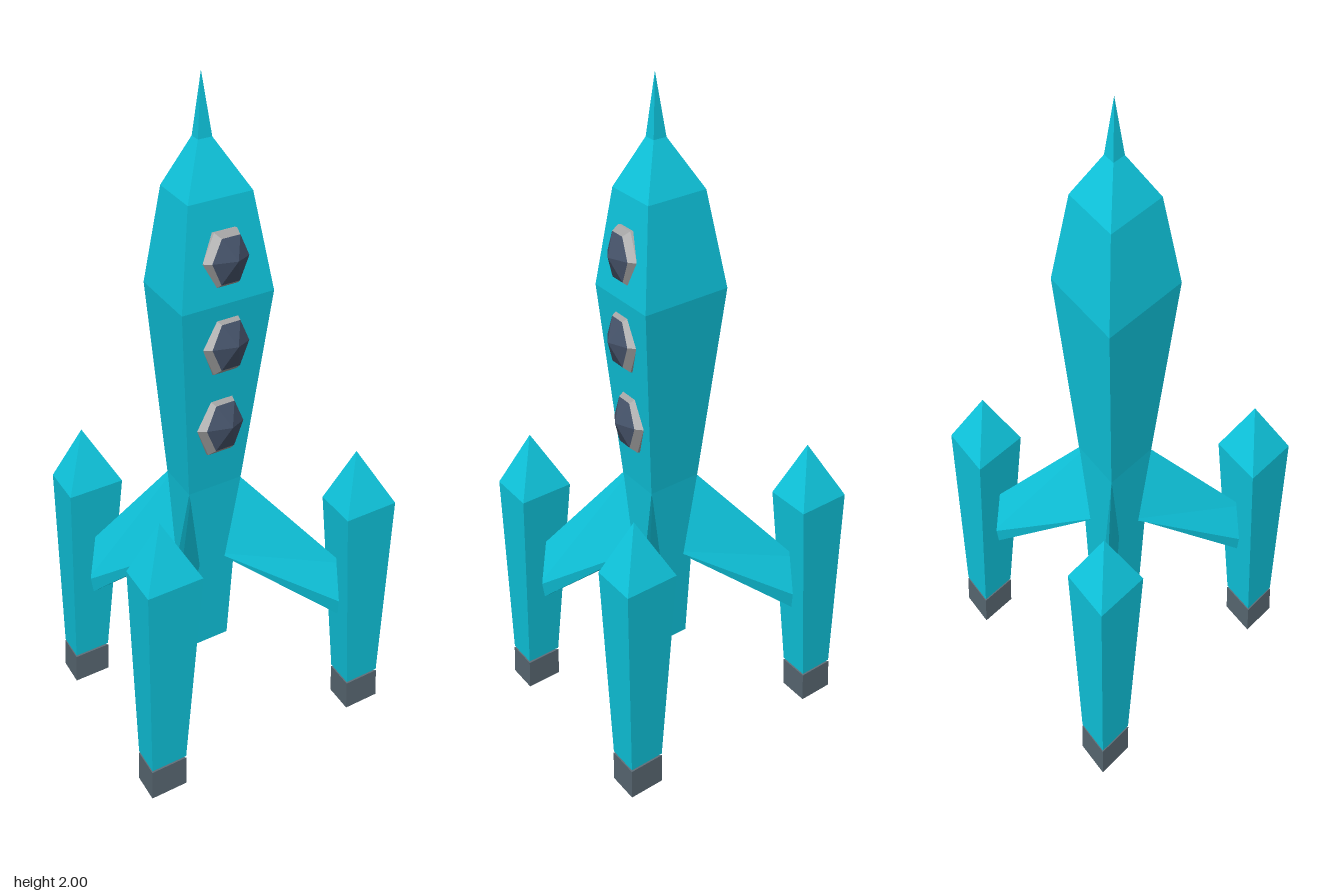
import * as THREE from 'three';

const material = (color) => new THREE.MeshStandardMaterial({ color, flatShading: true });
const AXIS_Z = 0.158;   // centre line of the fuselage
const POD_RADIUS = 0.498;

// Faceted solid from [radius, height] pairs, listed from the bottom up
function facetedSolid(name, profile, sides, mat, phiStart = Math.PI) {
  const points = profile.map(([r, y]) => new THREE.Vector2(r, y));
  const mesh = new THREE.Mesh(new THREE.LatheGeometry(points, sides, phiStart), mat);
  mesh.name = name;
  return mesh;
}

// Strut along +z with a diamond section: ridge on top, keel underneath
function strutGeometry() {
  const section = (d, top, mid, bottom, w) =>
    [[0, top, d], [w, mid, d], [0, bottom, d], [-w, mid, d]];
  const inner = section(0.05, 0.839, 0.537, 0.533, 0.021);
  const outer = section(0.46, 0.451, 0.325, 0.278, 0.015);
  const positions = [];
  for (let i = 0; i < 4; i++) {
    const j = (i + 1) % 4;
    for (const p of [inner[i], outer[i], outer[j], inner[i], outer[j], inner[j]]) positions.push(...p);
  }
  const geometry = new THREE.BufferGeometry();
  geometry.setAttribute('position', new THREE.Float32BufferAttribute(positions, 3));
  geometry.computeVertexNormals();
  return geometry;
}

export function createModel() {
  const model = new THREE.Group();
  model.name = 'rocket';
  const hull = material(0x10d4ee);
  const nozzleMat = material(0x5f6f7a);
  const rimMat = material(0xa8a8a8);
  const glassMat = material(0x4a5870);

  // Three-sided fuselage with a needle nose
  const body = facetedSolid('fuselage', [
    [0, 0.27], [0.09, 0.27], [0.13, 0.765], [0.228, 1.335],
    [0.16, 1.64], [0.035, 1.805], [0, 2],
  ], 3, hull);
  body.position.z = AXIS_Z;
  model.add(body);

  // Struts and engine pods, one for each corner of the fuselage
  const strutShape = strutGeometry();
  for (const angle of [Math.PI, Math.PI / 3, -Math.PI / 3]) {
    const strut = new THREE.Mesh(strutShape, hull);
    strut.name = 'strut';
    strut.position.z = AXIS_Z;
    strut.rotation.y = angle;

    const pod = new THREE.Group();
    pod.name = 'enginePod';
    pod.position.set(Math.sin(angle) * POD_RADIUS, 0, AXIS_Z + Math.cos(angle) * POD_RADIUS);
    pod.add(
      facetedSolid('podShell', [[0, 0.085], [0.081, 0.085], [0.13, 0.63], [0, 0.81]], 3, hull),
      facetedSolid('nozzle', [[0, 0], [0.082, 0], [0.082, 0.08], [0, 0.08]], 3, nozzleMat),
    );
    model.add(strut, pod);
  }

  // Hexagonal portholes down the front face
  for (const [y, z] of [[1.465, 0.257], [1.21, 0.26], [0.96, 0.24]]) {
    const porthole = new THREE.Group();
    porthole.name = 'porthole';
    porthole.position.set(0, y, z);
    porthole.rotation.x = Math.PI / 2;
    porthole.add(
      facetedSolid('rim', [[0.097, -0.03], [0.097, 0], [0.079, 0.022]], 6, rimMat, Math.PI / 2),
      facetedSolid('glass', [[0.079, 0.022], [0, 0.052]], 6, glassMat, Math.PI / 2),
    );
    model.add(porthole);
  }

  return model;
}
